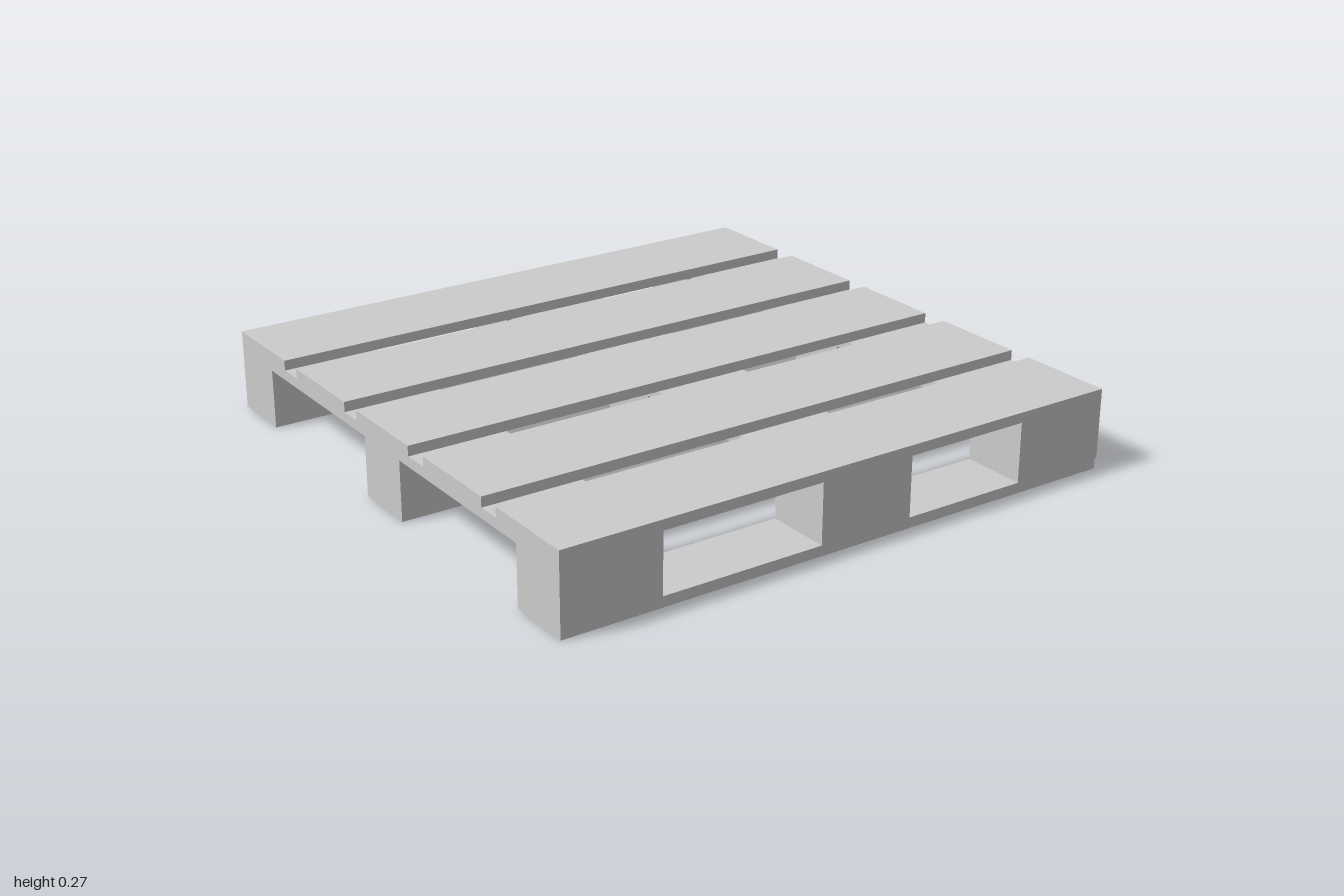
import * as THREE from 'three';

export function createModel() {
  const pallet = new THREE.Group();
  pallet.name = 'pallet';
  const wood = new THREE.MeshStandardMaterial({ color: 0xcccccc, flatShading: true });

  // Adds a box given its [min, max] range on each axis
  function addBoard(name, x, y, z) {
    const geometry = new THREE.BoxGeometry(x[1] - x[0], y[1] - y[0], z[1] - z[0]);
    const mesh = new THREE.Mesh(geometry, wood);
    mesh.name = name;
    mesh.position.set((x[0] + x[1]) / 2, (y[0] + y[1]) / 2, (z[0] + z[1]) / 2);
    pallet.add(mesh);
  }

  // Height of each layer, from the ground up
  const runnerY = [0, 0.035], blockY = [0.035, 0.202], stringerY = [0.202, 0.236], deckY = [0.236, 0.27];

  // Columns across x and rows along z where the blocks sit
  const columns = [[-1, -0.665], [-0.107, 0.226], [0.663, 1]];
  const rows = [[-0.996, -0.773], [-0.118, 0.103], [0.774, 0.996]];

  // Five wide deck boards running across x
  const deck = [[-0.996, -0.67], [-0.583, -0.248], [-0.168, 0.161], [0.253, 0.588], [0.668, 0.996]];
  deck.forEach((z) => addBoard('deckBoard', [-1, 1], deckY, z));

  // Three stringer boards running front to back under the deck
  columns.forEach((x) => addBoard('stringerBoard', x, stringerY, [-0.996, 0.996]));

  // Nine spacer blocks and three runners on the ground
  rows.forEach((z) => {
    columns.forEach((x) => addBoard('spacerBlock', x, blockY, z));
    addBoard('bottomRunner', [-1, 0.992], runnerY, z);
  });

  return pallet;
}
